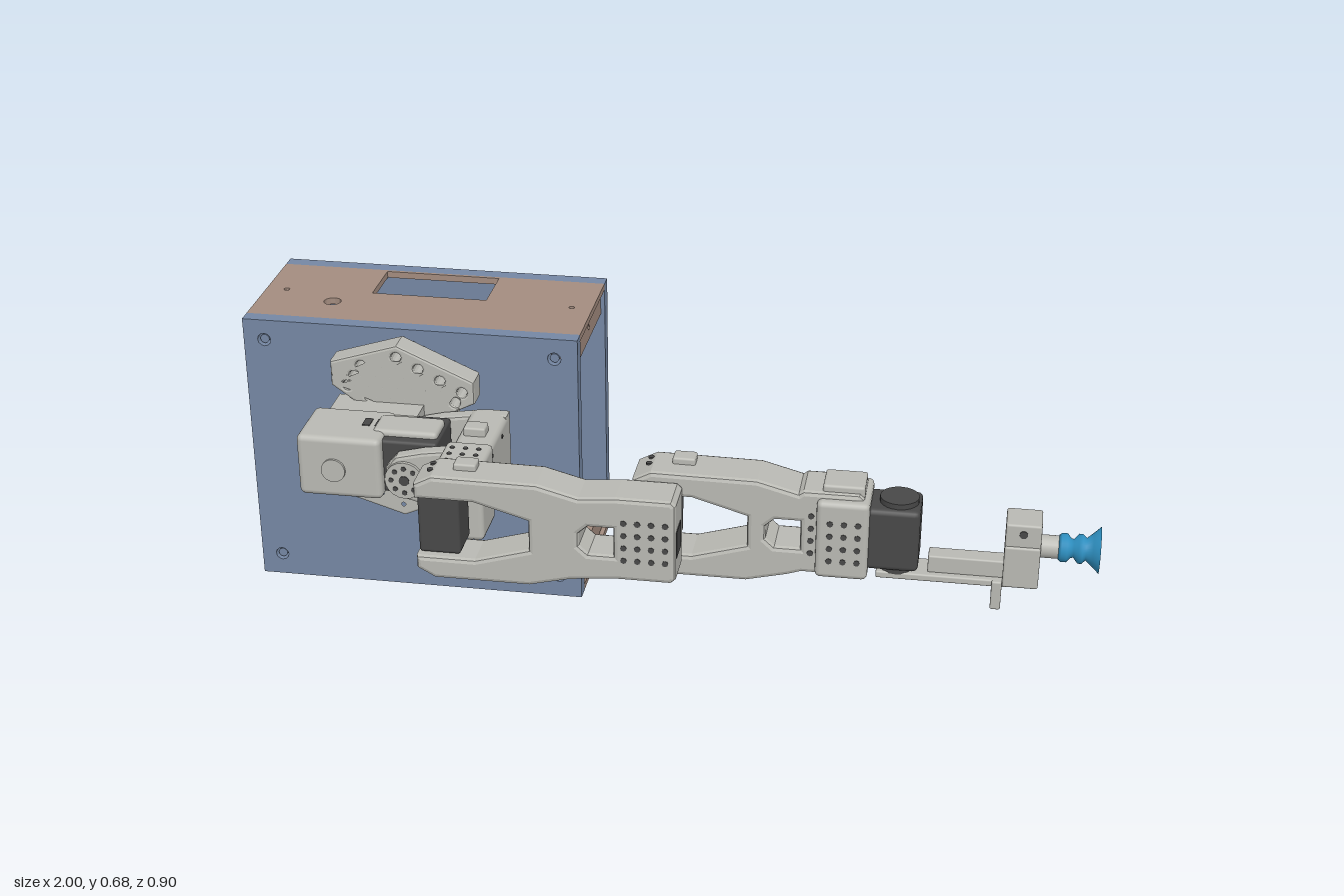
import * as THREE from 'three';
import { RoundedBoxGeometry } from 'three/addons/geometries/RoundedBoxGeometry.js';

const mat = (name, color) => Object.assign(new THREE.MeshStandardMaterial({ color }), { name });

export function createModel() {
  const grey = mat('printed grey', 0xb9b9b3), dark = mat('motor black', 0x484848);
  const blue = mat('panel blue', 0x7587a3), brown = mat('panel brown', 0xa38c7f);
  const cyan = mat('suction blue', 0x2e8fc0);
  const model = new THREE.Group();
  model.name = 'robotArmOnBox';
  const group = (name) => {
    const g = new THREE.Group();
    g.name = name;
    model.add(g);
    return g;
  };
  const add = (g, name, geo, m) => {
    const mesh = new THREE.Mesh(geo, m);
    mesh.name = name;
    g.add(mesh);
    return mesh;
  };
  // box given by its bounds, rounded when r > 0
  const box = (g, name, m, x0, x1, y0, y1, z0, z1, r = 0) => {
    const s = [x1 - x0, y1 - y0, z1 - z0];
    const geo = r ? new RoundedBoxGeometry(...s, 2, r) : new THREE.BoxGeometry(...s);
    return add(g, name, geo.translate((x0 + x1) / 2, (y0 + y1) / 2, (z0 + z1) / 2), m);
  };
  const cyl = (g, name, m, axis, r, len, x, y, z, seg = 20) => {
    const geo = new THREE.CylinderGeometry(r, r, len, seg);
    if (axis === 'x') geo.rotateZ(-Math.PI / 2);
    if (axis === 'z') geo.rotateX(Math.PI / 2);
    return add(g, name, geo.translate(x, y, z), m);
  };
  // flat outline with round [x, y, r] holes and polygon cut-outs
  const outline = (pts, holes = [], cuts = []) => {
    const toV = (list) => list.map((p) => new THREE.Vector2(p[0], p[1]));
    const s = new THREE.Shape(toV(pts));
    holes.forEach(([x, y, r]) => s.holes.push(new THREE.Path().absarc(x, y, r, 0, Math.PI * 2, true)));
    cuts.forEach((c) => s.holes.push(new THREE.Path(toV(c))));
    return s;
  };
  const rect = (a, b, c, d) => [[a, c], [b, c], [b, d], [a, d]];
  const slab = (shape, depth, bevel = 0) => new THREE.ExtrudeGeometry(shape, {
    depth: depth - 2 * bevel, curveSegments: 6, bevelEnabled: bevel > 0,
    bevelSize: bevel, bevelOffset: -bevel, bevelThickness: bevel, bevelSegments: 2,
  }).translate(0, 0, bevel);

  // ---- control box ----
  const cabinet = group('cabinet');
  const corners = [];
  for (const x of [-0.95, -0.255]) for (const y of [0.055, 0.63]) corners.push([x, y, 0.016]);
  const face = rect(-1, -0.2, 0, 0.68);
  add(cabinet, 'frontPanel', slab(outline(face, corners), 0.035).translate(0, 0, -0.11), blue);
  const backHoles = [[-0.48, 0.6], [-0.72, 0.595], [-0.35, 0.39], [-0.67, 0.45], [-0.7, 0.385], [-0.84, 0.5],
    [-0.845, 0.245], [-0.355, 0.165]].map(([x, y]) => [x, y, 0.011])
    .concat([[-0.505, 0.14, 0.017], [-0.69, 0.135, 0.017]]);
  add(cabinet, 'backPanel', slab(outline(face, [...corners, ...backHoles]), 0.035).translate(0, 0, -0.455), blue);
  for (const [x, y] of corners) for (const z of [-0.093, -0.437])
    cyl(cabinet, 'panelScrew', blue, 'z', 0.011, 0.024, x, y, z, 12);
  const lid = rect(-1, -0.2, -0.42, -0.11);
  const screws = [[-0.95, -0.265, 0.007], [-0.25, -0.265, 0.007]];
  const topShape = outline(lid, [...screws, [-0.82, -0.21, 0.021]], [rect(-0.74, -0.46, -0.412, -0.275)]);
  add(cabinet, 'topPanel', slab(topShape, 0.016).rotateX(Math.PI / 2).translate(0, 0.68, 0), brown);
  add(cabinet, 'bottomPanel', slab(outline(lid, [...screws, [-0.36, -0.285, 0.015]]), 0.016)
    .rotateX(Math.PI / 2).translate(0, 0.016, 0), brown);
  // rails across both open ends
  for (const x of [-0.99, -0.27]) {
    for (const y of [0.02, 0.6]) {
      const s = outline(rect(0.11, 0.42, y, y + 0.062), [[0.265, y + 0.032, 0.007]]);
      add(cabinet, 'endRail', slab(s, 0.06).rotateY(Math.PI / 2).translate(x, 0, 0), brown);
    }
    box(cabinet, 'innerPost', blue, x + 0.02, x + 0.04, 0.082, 0.6, -0.167, -0.11);
  }
  for (const y of [0.2, 0.42]) box(cabinet, 'innerShelf', blue, -0.5, -0.35, y, y + 0.02, -0.167, -0.11);

  // ---- lattice mount ----
  const mount = group('wallMount');
  const wing = [[-0.77, 0.11], [-0.68, 0.045], [-0.52, 0.04], [-0.43, 0.085], [-0.43, 0.14], [-0.61, 0.22], [-0.77, 0.17]];
  const inside = (x, y) => wing.every(([ax, ay], i) => {
    const [bx, by] = wing[(i + 1) % wing.length];
    return ((bx - ax) * (y - ay) - (by - ay) * (x - ax)) / Math.hypot(bx - ax, by - ay) > 0.021;
  });
  const lattice = [];
  for (let j = 0; j < 8; j++) for (let i = 0; i < 11; i++) {
    const x = -0.765 + i * 0.034 + (j % 2) * 0.017, y = 0.06 + j * 0.026;
    if (inside(x, y)) lattice.push([x, y, 0.0115]);
  }
  for (const s of [1, -1]) {
    const flip = (list) => list.map(([x, y, r]) => [x, 0.45 + s * y, r]);
    add(mount, 'latticeWing', slab(outline(flip(wing), flip(lattice)), 0.064, 0.006).translate(0, 0, -0.065), grey);
    for (const [x, y] of [[-0.745, 0.14], [-0.61, 0.19], [-0.455, 0.11], [-0.6, 0.055]])
      cyl(mount, 'mountFoot', grey, 'z', 0.014, 0.02, x, 0.45 + s * y, -0.066, 12);
    box(mount, 'neckBar', grey, -0.76, -0.55, 0.45 + Math.min(s * 0.04, s * 0.075),
      0.45 + Math.max(s * 0.04, s * 0.075), -0.03, 0.06);
  }
  box(mount, 'mountBridge', grey, -0.72, -0.48, 0.39, 0.51, -0.062, -0.03);

  // ---- shoulder ----
  const shoulder = group('shoulder');
  box(shoulder, 'shoulderHousing', grey, -0.795, -0.6, 0.38, 0.53, 0.05, 0.21, 0.014);
  box(shoulder, 'housingCover', grey, -0.63, -0.48, 0.376, 0.534, 0.075, 0.16, 0.01);
  box(shoulder, 'shoulderMotor', dark, -0.63, -0.475, 0.39, 0.52, 0.042, 0.183, 0.008);
  cyl(shoulder, 'housingBoss', grey, 'z', 0.028, 0.008, -0.71, 0.45, 0.212);
  for (const x of [-0.66, -0.63]) box(shoulder, 'coverSlot', dark, x, x + 0.018, 0.529, 0.532, 0.1, 0.135);
  const yokePlate = outline([[-0.4, 0.38], [-0.345, 0.38], [-0.345, 0.53], [-0.4, 0.53], [-0.5, 0.515],
    [-0.56, 0.5], [-0.585, 0.47], [-0.585, 0.43], [-0.56, 0.4], [-0.5, 0.385]]);
  for (const z of [0, 0.184]) add(shoulder, 'yokePlate', slab(yokePlate, 0.04, 0.008).translate(0, 0, z), grey);
  box(shoulder, 'yokeWeb', grey, -0.435, -0.345, 0.366, 0.53, 0, 0.23, 0.016);
  box(shoulder, 'yokeTab', grey, -0.42, -0.37, 0.52, 0.55, 0.11, 0.15, 0.005);
  for (const y of [0.4, 0.505]) for (const z of [0.09, 0.19])
    cyl(shoulder, 'webScrew', dark, 'x', 0.005, 0.004, -0.345, y, z, 10);
  cyl(shoulder, 'yokeHorn', grey, 'z', 0.045, 0.012, -0.54, 0.447, 0.226);
  cyl(shoulder, 'hornBolt', dark, 'z', 0.012, 0.004, -0.54, 0.447, 0.232, 12);
  for (let i = 0; i < 8; i++) {
    const a = (i * Math.PI) / 4;
    cyl(shoulder, 'hornHole', dark, 'z', 0.006, 0.004, -0.54 + 0.03 * Math.cos(a), 0.447 + 0.03 * Math.sin(a), 0.232, 8);
  }
  box(shoulder, 'elbowHolder', grey, -0.44, -0.335, 0.365, 0.55, 0.215, 0.335, 0.012);
  for (const x of [-0.42, -0.39, -0.36]) for (const z of [0.25, 0.28, 0.31])
    cyl(shoulder, 'holderHole', dark, 'y', 0.006, 0.188, x, 0.4575, z, 8);

  // ---- arm links: fork at one end, drilled motor seat at the other ----
  const link = (name, x0, L, z0, z1) => {
    const g = group(name);
    const pts = [[0, 0.07], [0, 0.105], [0.04, 0.126], [0.27, 0.124], [0.36, 0.1], [L - 0.13, 0.107], [L - 0.01, 0.107],
      [L, 0.097], [L, -0.08], [L - 0.01, -0.09], [L - 0.13, -0.09], [0.34, -0.1], [0.25, -0.122], [0.04, -0.122],
      [0, -0.1], [0, -0.07], [0.13, -0.07], [0.25, -0.035], [0.25, 0.035], [0.13, 0.07]];
    const a = L - 0.21, b = L - 0.135;
    const slot = [[a, -0.015], [a + 0.02, -0.033], [b, -0.033], [b, 0.033], [a + 0.02, 0.033], [a, 0.015]];
    add(g, name + 'Body', slab(outline(pts, [], [slot]), z1 - z0, 0.01).translate(x0, 0.45, z0), grey);
    box(g, name + 'Motor', dark, x0 + 0.004, x0 + 0.096, 0.383, 0.525, z0 - 0.005, z1 - 0.015, 0.008);
    cyl(g, 'motorHorn', dark, 'z', 0.04, 0.03, x0 + 0.05, 0.455, z0 - 0.012);
    for (let i = 0; i < 4; i++) for (let j = 0; j < 4; j++)
      cyl(g, 'seatHole', dark, 'z', 0.007, z1 - z0 + 0.003, x0 + L - 0.112 + i * 0.03, 0.41 + j * 0.03, (z0 + z1) / 2, 8);
    for (const x of [x0 + 0.03, x0 + 0.07]) for (const z of [z0 + 0.03, z0 + 0.06])
      cyl(g, 'forkScrew', dark, 'y', 0.007, 0.004, x, 0.573, z, 8);
    box(g, 'cableClip', grey, x0 + 0.08, x0 + 0.13, 0.56, 0.59, z0 + 0.02, z0 + 0.06, 0.005);
    return g;
  };
  const upper = link('upperArm', -0.46, 0.57, 0.345, 0.447);
  box(upper, 'motorWindow', dark, 0.108, 0.112, 0.42, 0.482, 0.378, 0.437);
  const fore = link('forearm', 0, 0.5, 0.24, 0.35);
  box(fore, 'wristSeat', grey, 0.4, 0.513, 0.362, 0.545, 0.23, 0.37, 0.012);
  box(fore, 'seatClip', grey, 0.41, 0.5, 0.54, 0.572, 0.26, 0.34, 0.006);
  for (let i = 0; i < 3; i++) for (let j = 0; j < 4; j++)
    cyl(fore, 'wristSeatHole', dark, 'z', 0.007, 0.143, 0.43 + i * 0.03, 0.405 + j * 0.03, 0.3, 8);

  // ---- wrist and tool ----
  const wrist = group('wrist');
  box(wrist, 'wristMotor', dark, 0.505, 0.62, 0.385, 0.53, 0.25, 0.358, 0.012);
  for (const y of [0.38, 0.535]) cyl(wrist, 'wristHorn', dark, 'y', 0.042, 0.014, 0.572, y, 0.305);
  box(wrist, 'toolPlate', grey, 0.53, 0.81, 0.36, 0.376, 0.27, 0.345, 0.004);
  box(wrist, 'toolRib', grey, 0.64, 0.81, 0.374, 0.415, 0.287, 0.33, 0.004);
  const tool = group('suctionTool');
  box(tool, 'toolBlock', grey, 0.8, 0.876, 0.362, 0.46, 0.255, 0.347, 0.005);
  box(tool, 'toolClamp', grey, 0.8, 0.876, 0.455, 0.512, 0.262, 0.342, 0.005);
  cyl(tool, 'clampBolt', dark, 'z', 0.009, 0.084, 0.838, 0.49, 0.302, 10);
  for (const z of [0.275, 0.332]) box(tool, 'toolPeg', grey, 0.778, 0.8, 0.308, 0.376, z, z + 0.02, 0.004);
  cyl(tool, 'toolTube', grey, 'x', 0.025, 0.05, 0.895, 0.45, 0.31);
  // suction cup: bellows and flared lip, hollow at the mouth
  const cup = [[0, 0], [0.026, 0], [0.031, 0.006], [0.031, 0.018], [0.021, 0.026], [0.02, 0.032], [0.032, 0.042],
    [0.032, 0.05], [0.024, 0.058], [0.036, 0.072], [0.05, 0.087], [0.046, 0.087], [0.028, 0.07], [0.016, 0.06], [0, 0.06]];
  const cupGeo = new THREE.LatheGeometry(cup.map((p) => new THREE.Vector2(...p)), 32)
    .rotateZ(-Math.PI / 2).translate(0.913, 0.45, 0.31);
  add(tool, 'suctionCup', cupGeo, cyan);
  cyl(tool, 'cupInlet', grey, 'x', 0.009, 0.004, 0.974, 0.45, 0.31, 12);
  return model;
}
